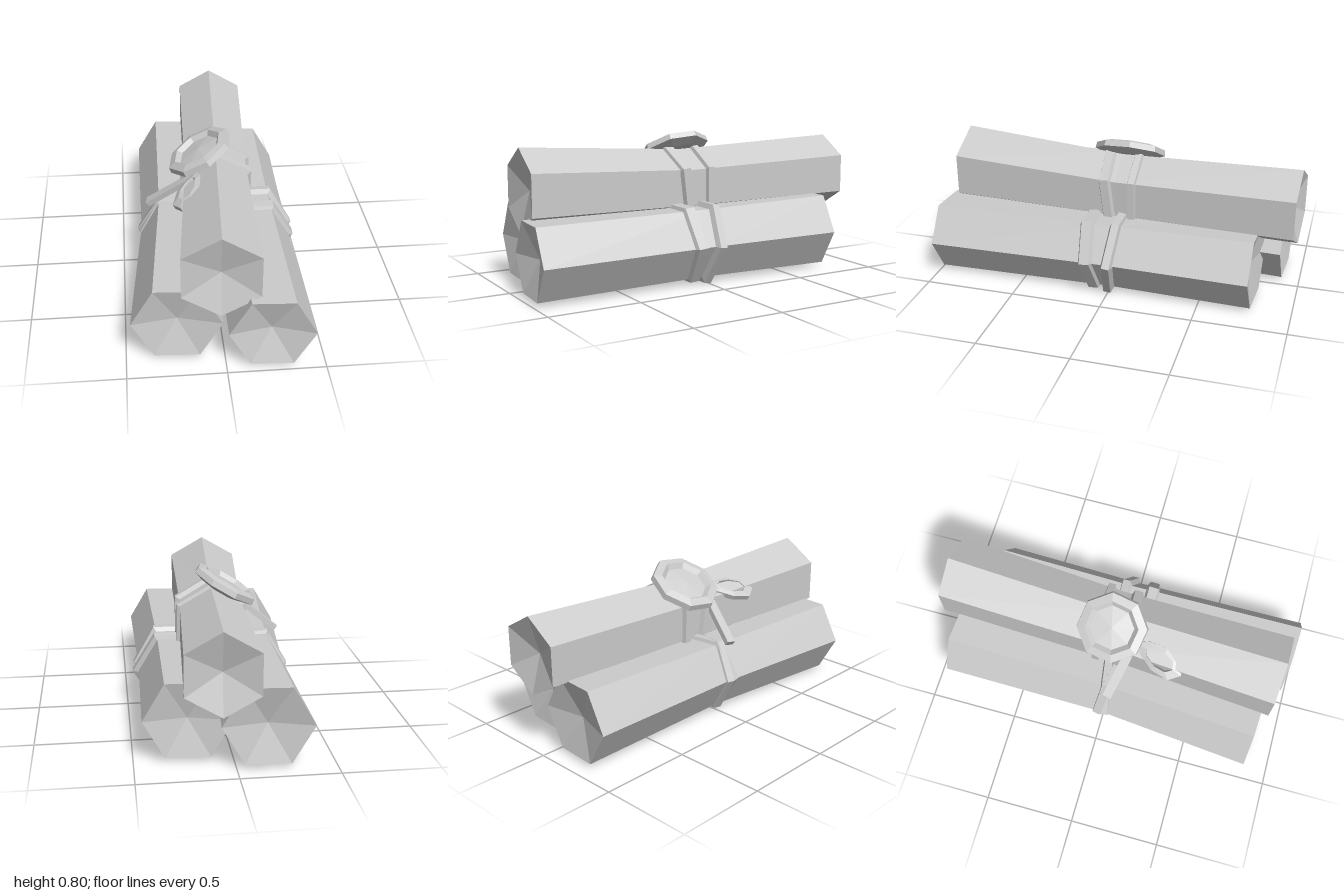
import * as THREE from 'three';

const material = new THREE.MeshStandardMaterial({ color: 0xcccccc, flatShading: true });
const V2 = (x, y) => new THREE.Vector2(x, y);
const V3 = (a) => new THREE.Vector3(...a);

function part(name, geometry, parent) {
  const mesh = new THREE.Mesh(geometry, material);
  mesh.name = name;
  parent.add(mesh);
  return mesh;
}

// Hexagonal roll along z, lofted through [x, y, z, radius] stations, with dented ends
function rollGeometry(back, mid, front, phase) {
  const profile = [V2(0, -0.94), V2(1, -1), V2(1, 0), V2(1, 1), V2(0, 0.94)];
  const geo = new THREE.LatheGeometry(profile, 6, phase).rotateX(Math.PI / 2);
  const pos = geo.attributes.position;
  for (let i = 0; i < pos.count; i++) {
    const t = pos.getZ(i);
    const end = t > 0 ? front : back;
    const [cx, cy, cz, r] = mid.map((m, k) => m + (end[k] - m) * Math.abs(t));
    const dx = pos.getX(i) * r;
    pos.setXYZ(i, cx + dx, cy + pos.getY(i) * r, cz + dx * 0.06 * Math.abs(t));
  }
  geo.computeVertexNormals();
  return geo;
}

// Bevelled band lathed into a closed ring around z
function bandGeometry(inner, outer, half, sides, phase) {
  const profile = [V2(inner, -half), V2(outer, -half * 0.6), V2(outer, half * 0.6), V2(inner, half), V2(inner, -half)];
  return new THREE.LatheGeometry(profile, sides, phase).rotateX(Math.PI / 2);
}

// Flat cord between two points
function strap(name, from, to, width, thick, parent) {
  const a = V3(from), b = V3(to);
  const mesh = part(name, new THREE.BoxGeometry(thick, width, a.distanceTo(b)), parent);
  mesh.up.set(0, 0, 1);
  mesh.position.copy(a).lerp(b, 0.5);
  mesh.lookAt(b);
  return mesh;
}

export function createModel() {
  const model = new THREE.Group();
  model.name = 'scrollBundle';
  const flat = Math.PI / 6;

  // Three rolls, each pinched at the middle
  const rolls = new THREE.Group();
  rolls.name = 'scrolls';
  model.add(rolls);
  part('rightScroll', rollGeometry([-0.155, 0.225, -0.91, 0.23], [-0.185, 0.22, 0, 0.207], [-0.242, 0.22, 0.868, 0.23], flat), rolls);
  part('leftScroll', rollGeometry([0.228, 0.222, -0.79, 0.226], [0.222, 0.22, 0, 0.212], [0.226, 0.215, 0.978, 0.217], flat), rolls);
  part('topScroll', rollGeometry([0.078, 0.525, -0.985, 0.213], [0.03, 0.505, 0, 0.195], [-0.025, 0.528, 0.922, 0.226], 0), rolls);

  // Cord bands: [name, x, y, z, outer radius, half width, phase, pitch, yaw]
  const cords = new THREE.Group();
  cords.name = 'cords';
  model.add(cords);
  const bands = [
    ['leftBandFront', 0.225, 0.222, 0.1, 0.234, 0.045, flat, 0.08, 0],
    ['leftBandBack', 0.222, 0.216, -0.02, 0.246, 0.034, flat, -0.12, 0],
    ['rightBandFront', -0.185, 0.22, 0.025, 0.228, 0.035, flat, 0.04, -0.2],
    ['rightBandBack', -0.18, 0.22, -0.01, 0.228, 0.035, flat, 0, 0.15],
    ['topBandFront', 0.028, 0.505, 0.045, 0.222, 0.038, 0, 0.12, 0],
    ['topBandBack', 0.034, 0.505, -0.095, 0.22, 0.03, 0, 0, 0],
  ];
  for (const [name, x, y, z, r, half, phase, pitch, yaw] of bands) {
    const band = part(name, bandGeometry(r - 0.04, r, half, 6, phase), cords);
    band.position.set(x, y, z);
    band.rotation.set(pitch, yaw, 0);
  }

  // Loose cords crossing between the rolls
  strap('sideCord', [-0.12, 0.595, 0.1], [-0.35, 0.415, 0.03], 0.05, 0.03, cords);
  strap('innerCord', [0.05, 0.33, -0.06], [-0.02, 0.24, -0.08], 0.06, 0.04, cords);
  strap('linkCord', [0.2, 0.43, 0.03], [0.08, 0.32, 0.08], 0.06, 0.03, cords);

  // Seal and bow loop lie on the slope of the top roll
  const slope = new THREE.Group();
  slope.name = 'sealAndLoop';
  slope.position.set(-0.055, 0.695, -0.02);
  slope.rotation.z = Math.PI / 6;
  model.add(slope);
  const sealProfile = [V2(0, -0.035), V2(0.13, -0.035), V2(0.195, -0.012), V2(0.19, 0.02), V2(0.145, 0.032), V2(0.12, 0.008), V2(0, 0.02)];
  part('seal', new THREE.LatheGeometry(sealProfile, 8, 0.2), slope);

  // Bow loop: an eight-sided ring stretched and narrowed toward the seal
  const loopGeo = bandGeometry(0.62, 1, 0.024, 8, 0).rotateX(Math.PI / 2);
  const pos = loopGeo.attributes.position;
  for (let i = 0; i < pos.count; i++) {
    const z = pos.getZ(i);
    pos.setXYZ(i, pos.getX(i) * (0.075 + 0.022 * z), pos.getY(i), z * 0.145);
  }
  loopGeo.computeVertexNormals();
  const loop = part('bowLoop', loopGeo, slope);
  loop.position.set(-0.105, -0.03, 0.285);
  loop.rotation.y = -0.42;

  return model;
}
